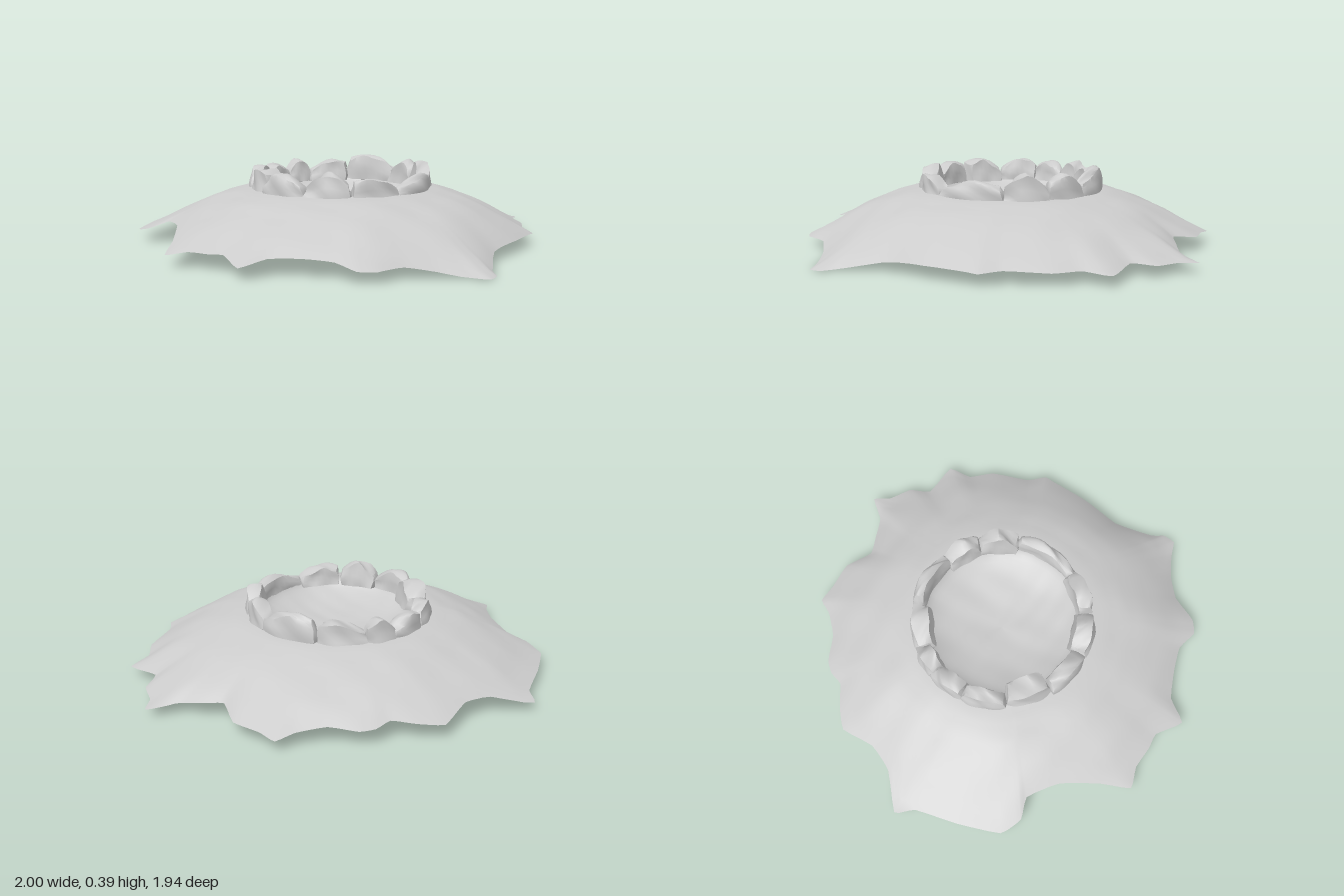
import * as THREE from 'three';
import { toCreasedNormals } from 'three/addons/utils/BufferGeometryUtils.js';

const CX = 0.01, CZ = -0.03; // centre of the crater

// Ragged outer edge of the mound, as x, z pairs, starting at the back
const EDGE = [
  0.22, -0.975, 0.29, -0.92, 0.41, -0.85, 0.47, -0.72, 0.57, -0.7, 0.69, -0.68, 0.82, -0.72,
  0.82, -0.63, 0.87, -0.52, 0.85, -0.41, 1, -0.3, 0.94, -0.19, 0.96, -0.06, 0.91, 0.13,
  0.93, 0.23, 0.9, 0.27, 0.78, 0.44, 0.64, 0.6, 0.58, 0.8, 0.58, 0.87, 0.54, 0.92,
  0.46, 0.9, 0.33, 0.88, 0.19, 0.89, 0.07, 0.965, -0.01, 0.965, -0.09, 0.88, -0.21, 0.84,
  -0.36, 0.81, -0.48, 0.86, -0.54, 0.72, -0.61, 0.68, -0.7, 0.61, -0.8, 0.58, -0.78, 0.43,
  -0.78, 0.23, -0.84, 0.07, -0.94, 0.04, -1, -0.06, -0.95, -0.27, -0.88, -0.47, -0.89, -0.57,
  -0.69, -0.6, -0.57, -0.68, -0.48, -0.83, -0.36, -0.85, -0.25, -0.85, -0.19, -0.9,
  -0.12, -0.92, 0.01, -0.9, 0.14, -0.93,
];

// Height of the mound by distance from the centre
const PROFILE = [[0.4, 0.272], [0.5, 0.258], [0.6, 0.23], [0.7, 0.192], [0.8, 0.147],
  [0.9, 0.098], [1, 0.056], [1.08, 0.045]];

// Stones of the ring: start and end angle (degrees), top, inner and outer radius, peak position
const STONES = [
  [-111, -80, 0.36, 0.34, 0.455, 0.4],
  [-79, -39, 0.388, 0.38, 0.455, -0.3],
  [-41, -15, 0.375, 0.36, 0.46, 0.2],
  [-15, 13, 0.388, 0.365, 0.462, 0],
  [13, 57, 0.345, 0.385, 0.46, -0.3],
  [57, 87, 0.35, 0.365, 0.462, 0.3],
  [89, 117, 0.378, 0.345, 0.465, -0.1],
  [117, 148, 0.365, 0.365, 0.465, 0.2],
  [149, 178, 0.372, 0.315, 0.455, -0.3],
  [179, 207, 0.365, 0.37, 0.462, 0.2],
  [207, 231, 0.355, 0.36, 0.465, -0.2],
  [230, 250, 0.368, 0.36, 0.46, 0.1],
];

const material = new THREE.MeshStandardMaterial({ color: 0xcccccc });
const thinMaterial = new THREE.MeshStandardMaterial({ color: 0xcccccc, side: THREE.DoubleSide });

function profileHeight(r) {
  let i = 0;
  while (i < PROFILE.length - 2 && r > PROFILE[i + 1][0]) i++;
  const [r0, y0] = PROFILE[i], [r1, y1] = PROFILE[i + 1];
  return y0 + ((y1 - y0) * (r - r0)) / (r1 - r0);
}

// Gentle, repeatable unevenness of the ground
const bumps = (x, z) =>
  0.5 * Math.sin(9 * x + 4 * z + 1) * Math.sin(8 * z - 3 * x) + 0.5 * Math.sin(19 * x - 7 * z) * Math.sin(17 * z + 2);

// Surface closed around the centre, rows running outwards; point(t, col) gives [x, y, z]
function ringSurface(rows, cols, point) {
  const positions = [], index = [];
  for (let r = 0; r <= rows; r++) {
    for (let c = 0; c < cols; c++) {
      positions.push(...point(r / rows, c));
      if (r === rows) continue;
      const a = r * cols + c, b = r * cols + ((c + 1) % cols);
      index.push(a, b, a + cols, b, b + cols, a + cols);
    }
  }
  const geometry = new THREE.BufferGeometry();
  geometry.setAttribute('position', new THREE.Float32BufferAttribute(positions, 3));
  geometry.setIndex(index);
  geometry.computeVertexNormals();
  return geometry;
}

// Sloping skirt from the crater rim to the ragged edge, which droops where it is cut short
function moundGeometry() {
  const corners = [];
  for (let i = 0; i < EDGE.length; i += 2) corners.push(new THREE.Vector3(EDGE[i], 0, EDGE[i + 1]));
  const curve = new THREE.CatmullRomCurve3(corners, true, 'catmullrom', 0.2);
  const cols = corners.length * 3;
  const edge = Array.from({ length: cols }, (_, c) => curve.getPoint(c / cols));
  const height = (x, z) => profileHeight(Math.hypot(x - CX, z - CZ / 2));
  return ringSurface(18, cols, (t, c) => {
    const { x: ex, z: ez } = edge[c];
    const a = Math.atan2(ez - CZ, ex - CX);
    const x = THREE.MathUtils.lerp(CX + 0.43 * Math.cos(a), ex, t);
    const z = THREE.MathUtils.lerp(CZ + 0.43 * Math.sin(a), ez, t);
    const share = 0.4 + 0.3 * Math.cos(a - 0.3);
    const frontCorner = 0.046 * Math.exp(-(((a - 1.06) / 0.3) ** 2));
    const droop = (share * Math.max(0, height(ex, ez) - 0.045) + frontCorner) * t ** 4;
    const uneven = 0.007 * bumps(x, z) * Math.min(1, 3 * t, 4 * (1 - t));
    return [x, Math.max(0, height(x, z) - droop + uneven), z];
  });
}

// Rounded dish of the crater, steep at the rim and flat in the middle
function bowlGeometry() {
  return ringSurface(14, 60, (t, c) => {
    const a = (c / 60) * Math.PI * 2, tilt = (t * Math.PI) / 2;
    const r = 0.4 * Math.sin(tilt);
    const x = CX + r * Math.cos(a), z = CZ + r * Math.sin(a);
    const rim = t ** 6 * 0.01 * Math.sin(12 * a + Math.sin(5 * a));
    return [x, 0.285 - 0.13 * Math.cos(tilt) + 0.005 * bumps(2 * x, 2 * z) + rim, z];
  });
}

// Chunky stone: a box bent around the ring, pinched and raised to a peak
function stoneGeometry([start, end, top, inner, outer, peak], seed) {
  const geometry = new THREE.BoxGeometry(2, 2, 2, 8, 4, 4);
  const p = geometry.attributes.position;
  for (let i = 0; i < p.count; i++) {
    const u = p.getX(i), v = p.getY(i), w = p.getZ(i);
    // round the block slightly towards its corners
    const along = u * Math.sqrt(1 - 0.12 * v * v) * (1 - 0.04 * w * w) * (1.03 - 0.05 * v);
    const up = v * Math.sqrt(1 - 0.2 * w * w);
    const across = w * Math.sqrt(1 - 0.32 * u * u) * (1 - 0.14 * (v + 1));
    const noise = Math.sin(seed * 2.3 + 3 * u + 2 * w) * Math.sin(seed * 1.7 + 2.5 * v - 2 * u);
    const fall = Math.min(1, Math.abs(u - peak) / (1 + Math.abs(peak)));
    const height = (top - 0.245) * (1 - 0.45 * fall ** 1.4);
    const y = 0.245 + height * (up + 1) / 2 + 0.005 * noise * (v + 1);
    const r = (inner + outer) / 2 + ((outer - inner) / 2) * across + 0.006 * noise;
    const a = THREE.MathUtils.degToRad((start + end) / 2 + ((end - start) / 2) * along + 0.8 * noise);
    p.setXYZ(i, CX + r * Math.cos(a), y, CZ + r * Math.sin(a));
  }
  // the bend mirrors the box, so turn every face the right way round
  const index = geometry.index.array;
  for (let i = 0; i < index.length; i += 3) [index[i], index[i + 1]] = [index[i + 1], index[i]];
  return toCreasedNormals(geometry, 0.7);
}

function addMesh(parent, name, geometry, mat) {
  const mesh = new THREE.Mesh(geometry, mat);
  mesh.name = name;
  parent.add(mesh);
}

export function createModel() {
  const model = new THREE.Group();
  model.name = 'craterMound';
  addMesh(model, 'mound', moundGeometry(), thinMaterial);
  addMesh(model, 'craterFloor', bowlGeometry(), thinMaterial);

  const ring = new THREE.Group();
  ring.name = 'stoneRing';
  STONES.forEach((stone, i) => addMesh(ring, `stone${i + 1}`, stoneGeometry(stone, i + 1), material));
  model.add(ring);
  return model;
}
